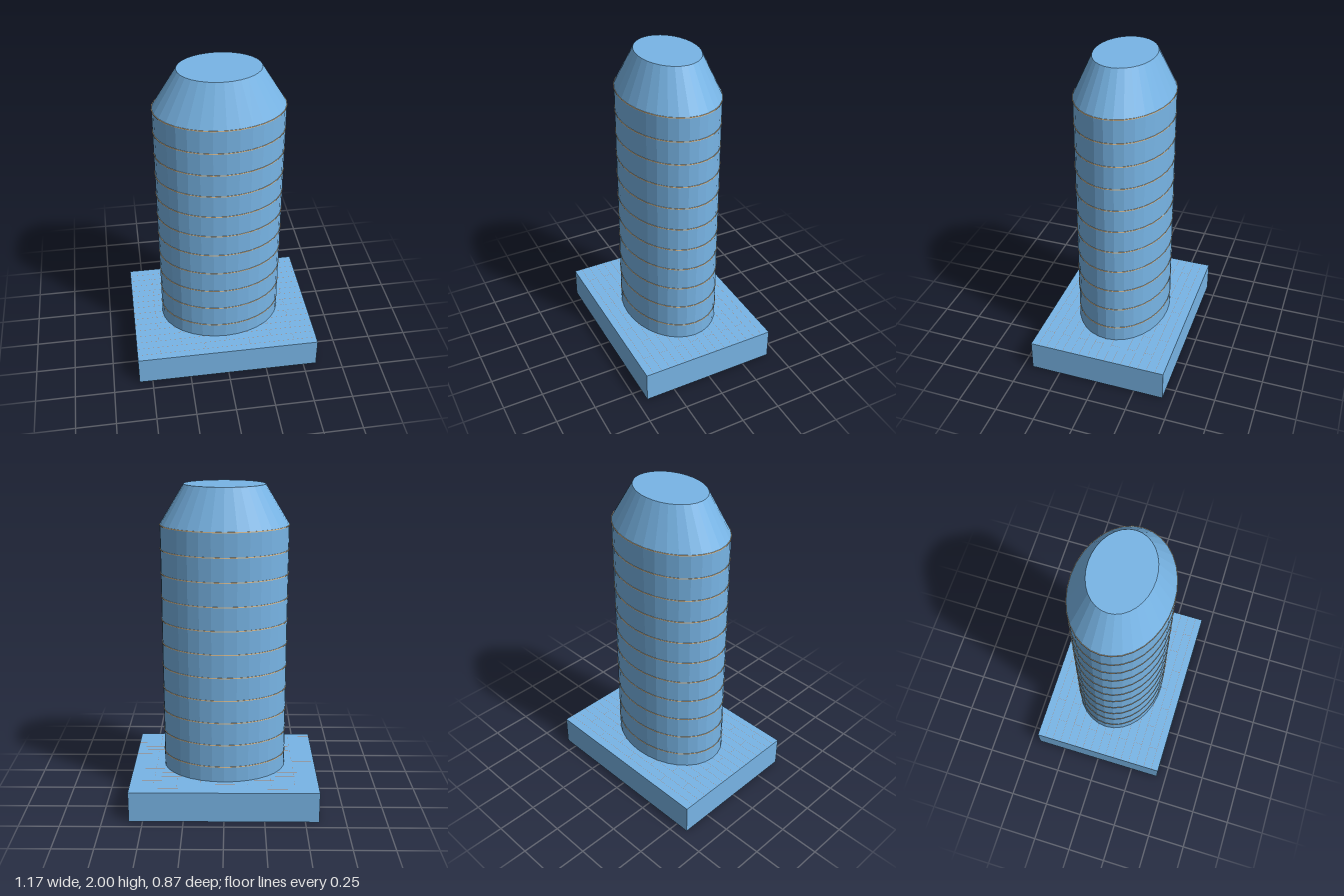
import * as THREE from 'three';

export function createModel() {
  const model = new THREE.Group();
  function flat(name, color) {
    const material = new THREE.MeshStandardMaterial({ color });
    material.name = name;
    material.flatShading = true;
    return material;
  }
  const blue = flat('blue', 0x78b5e6);
  const cream = flat('cream', 0xf0d2a4);
  const brown = flat('brown', 0xa8795f);

  const DEPTH = 0.75; // oval plan: depth relative to width
  const BASE_W = 1.17, BASE_H = 0.196, BASE_D = 0.874;
  const RADIUS = 0.389, SHOULDER = 1.762;

  function add(name, geometry, material, x, y, z, parent = model) {
    const mesh = new THREE.Mesh(geometry, material);
    mesh.name = name;
    mesh.position.set(x, y, z);
    parent.add(mesh);
    return mesh;
  }
  function oval(name, top, bottom, y0, y1, material, open = false) {
    const geometry = new THREE.CylinderGeometry(top, bottom, y1 - y0, 32, 1, open);
    geometry.scale(1, 1, DEPTH);
    return add(name, geometry, material, 0, (y0 + y1) / 2, 0);
  }

  // Plinth, oval shaft and tapered cap
  add('base', new THREE.BoxGeometry(BASE_W, BASE_H, BASE_D), blue, 0, BASE_H / 2, 0);
  oval('shaft', RADIUS, RADIUS, BASE_H, SHOULDER, blue, true);
  oval('cap', 0.244, RADIUS, SHOULDER, 2, blue);

  // Fine course lines around the shaft
  for (let i = 0; i < 11; i++) {
    const y = 0.297 + i * 0.1463;
    oval('courseLine', RADIUS + 0.003, RADIUS + 0.003, y - 0.003, y + 0.003, cream);
  }

  // Hairline brick joints lying flat on top of the base
  const joints = new THREE.Group();
  joints.name = 'brickJoints';
  model.add(joints);
  function joint(name, w, d, x, z) {
    const geometry = new THREE.PlaneGeometry(w, d).rotateX(-Math.PI / 2);
    add(name, geometry, brown, x, BASE_H + 0.0003, z, joints);
  }
  const pitch = 0.0552, width = 0.0012;
  for (let row = -7; row <= 7; row++) {
    const z = row * pitch + 0.003;
    joint('bedJoint', BASE_W, width, 0, z);
    if (row === 7) continue;
    for (let col = -3; col <= 3; col++) {
      if ((row + col) % 2 !== 0) joint('headJoint', width, pitch, col * 0.146, z + pitch / 2);
    }
  }
  return model;
}
